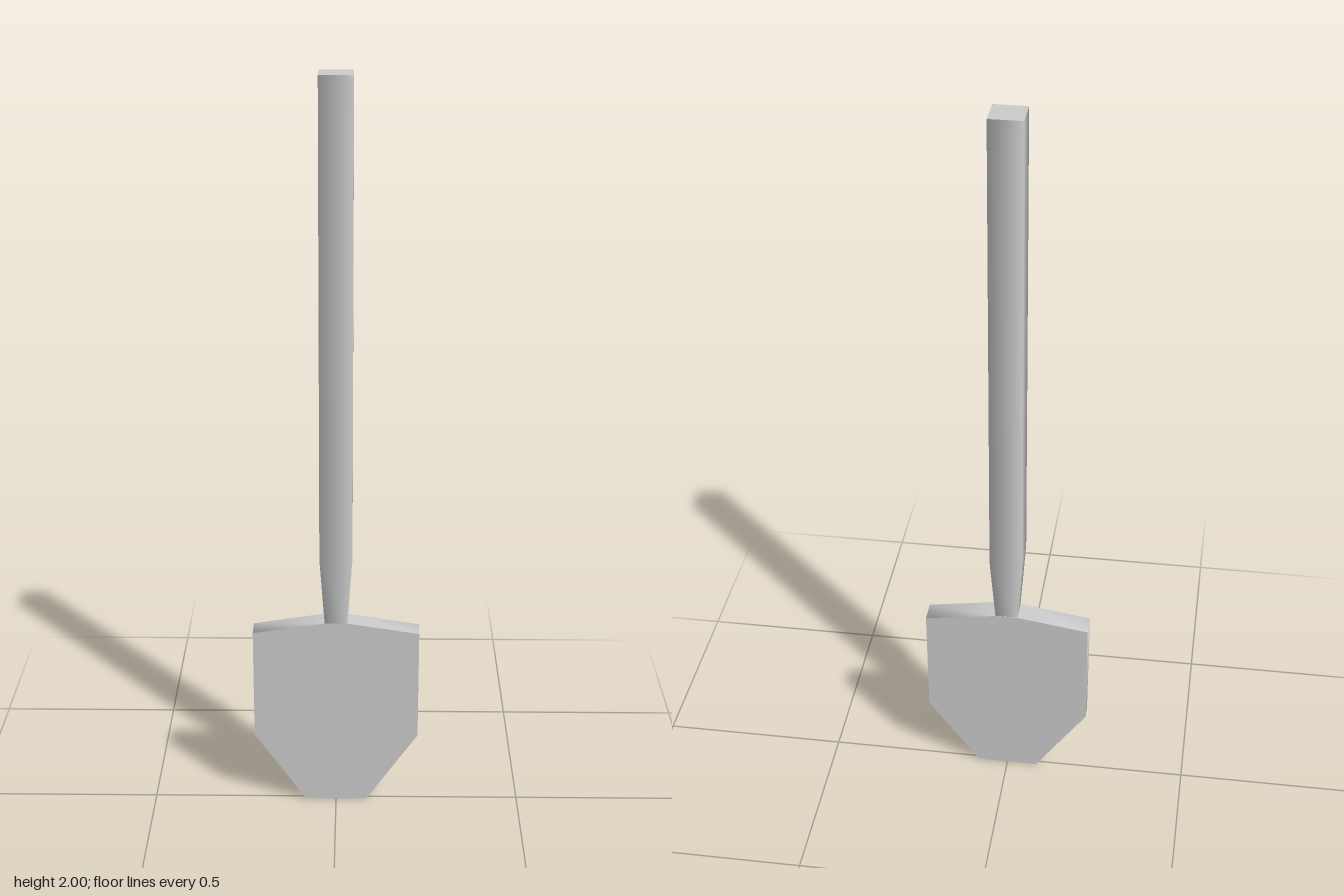
import * as THREE from 'three';
import { toCreasedNormals } from 'three/addons/utils/BufferGeometryUtils.js';

const material = new THREE.MeshStandardMaterial({ color: 0xcccccc });

function part(name, geometry) {
  const mesh = new THREE.Mesh(geometry, material);
  mesh.name = name;
  return mesh;
}

export function createModel() {
  const group = new THREE.Group();
  group.name = 'shovel';

  // Square handle with smooth sides, tapering into the blade (half widths, heights)
  const profile = [[0.03, 0.54], [0.0435, 0.735], [0.0435, 2]]
    .map(([half, y]) => new THREE.Vector2(half * Math.SQRT2, y));
  group.add(part('handle', new THREE.LatheGeometry(profile, 4, Math.PI / 4)));

  // Flat end of the handle
  const cap = new THREE.CircleGeometry(0.0435 * Math.SQRT2, 4, Math.PI / 4);
  cap.rotateX(-Math.PI / 2).translate(0, 2, 0);
  group.add(part('handleEnd', cap));

  // Blade outline, mirrored from its left half
  const half = [[0.083, 0], [0.223, 0.203], [0.223, 0.515], [0.03, 0.545]];
  const outline = [...half, ...half.map(([x, y]) => [-x, y]).reverse()];
  const shape = new THREE.Shape(outline.map(([x, y]) => new THREE.Vector2(x, y)));
  const blade = new THREE.ExtrudeGeometry(shape, { depth: 1, bevelEnabled: false });

  // Thin the blade towards its tip
  const pos = blade.attributes.position;
  for (let i = 0; i < pos.count; i++) {
    const thickness = THREE.MathUtils.lerp(0.025, 0.063, pos.getY(i) / 0.545);
    pos.setZ(i, (pos.getZ(i) - 0.5) * thickness);
  }

  // Smooth rim, sharp edges to the flat faces
  group.add(part('blade', toCreasedNormals(blade, THREE.MathUtils.degToRad(85))));

  return group;
}
